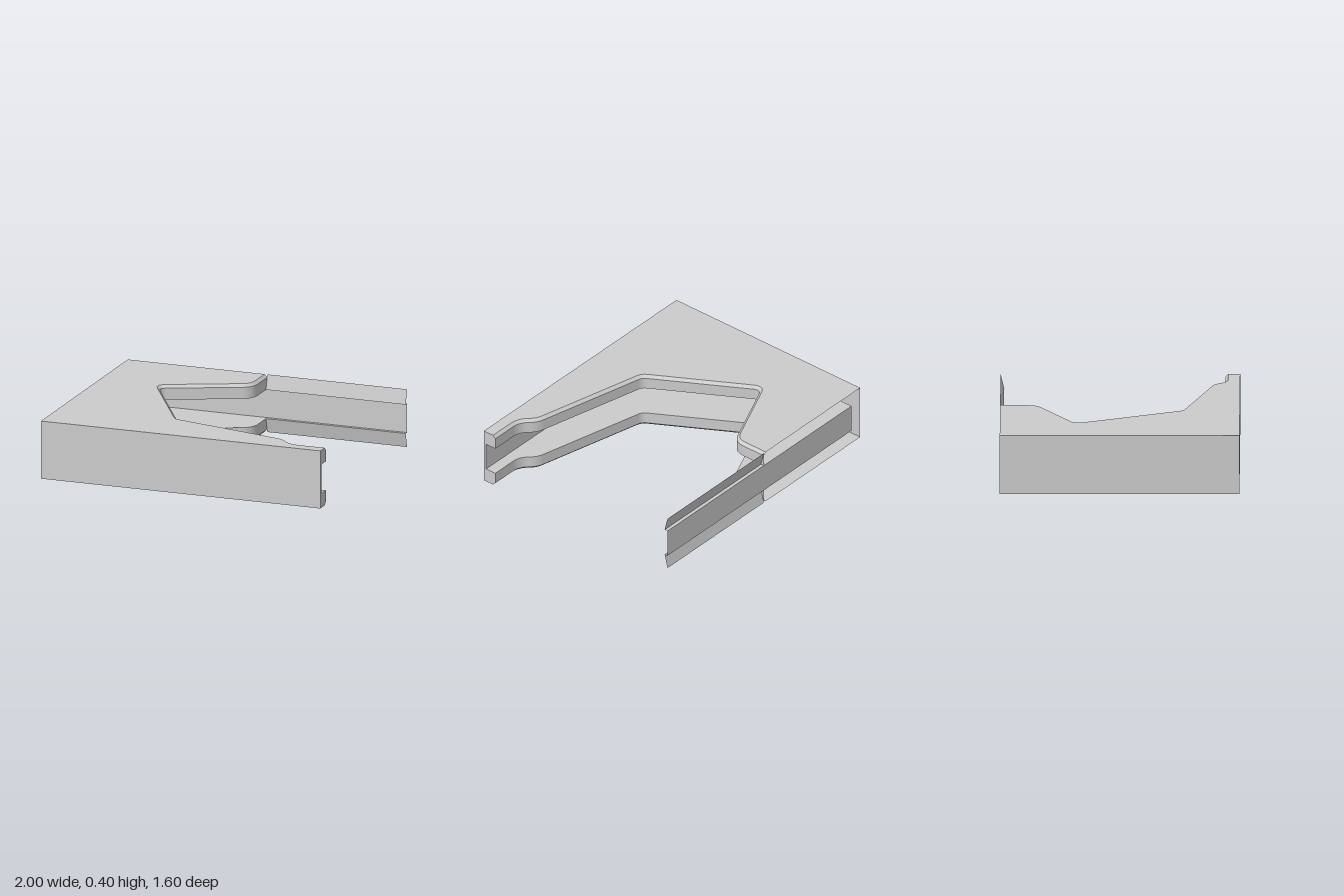
import * as THREE from 'three';

const H = 0.4, SLOT_LOW = 0.1, SLOT_HIGH = 0.3, CHAMFER = 0.02;
const material = new THREE.MeshStandardMaterial({ color: 0xcccccc, side: THREE.DoubleSide });

// Notch corners as [x, z, rounding length], from the front arm to the back edge
const corners = [
  [1, 0.7, 0], [0.755, 0.7, 0.06], [0.67, 0.608, 0.05], [-0.175, 0.407, 0.03],
  [-0.578, -0.29, 0.05], [0, -0.543, 0.08], [0, -0.8, 0],
];

// Rounds each corner with a short quadratic curve
function roundedPath(list) {
  const out = [];
  const pts = list.map(([x, z]) => new THREE.Vector2(x, z));
  pts.forEach((p, i) => {
    const r = list[i][2];
    if (!r) { out.push(p); return; }
    const toward = q => q.clone().sub(p).setLength(r).add(p);
    const curve = new THREE.QuadraticBezierCurve(toward(pts[i - 1]), p, toward(pts[i + 1]));
    out.push(...curve.getPoints(10));
  });
  return out;
}

// Shifts the path into the block by d
function offsetPath(path, d) {
  return path.map((p, i) => {
    const a = path[Math.max(i - 1, 0)], b = path[Math.min(i + 1, path.length - 1)];
    const t = b.clone().sub(a).normalize();
    return new THREE.Vector2(p.x + t.y * d, p.y - t.x * d);
  }).map((p, i, all) => {
    if (i === 0) p.set(1, path[0].y + d);
    if (i === all.length - 1) p.set(path[i].x - d, -0.8);
    return p;
  });
}

// Ribbon joining a lower and an upper path of (x, z) points
function ribbon(low, yLow, high, yHigh) {
  const pos = [], idx = [];
  low.forEach((p, i) => {
    pos.push(p.x, yLow, p.y, high[i].x, yHigh, high[i].y);
    if (i) {
      const k = 2 * i;
      idx.push(k - 2, k - 1, k, k - 1, k + 1, k);
    }
  });
  const g = new THREE.BufferGeometry();
  g.setAttribute('position', new THREE.Float32BufferAttribute(pos, 3));
  g.setIndex(idx);
  g.computeVertexNormals();
  return g;
}

// Flat horizontal plate from (x, z) points
function plate(points, y, up) {
  const s = up ? -1 : 1;
  const shape = new THREE.Shape(points.map(p => new THREE.Vector2(p.x, s * p.y)));
  return new THREE.ShapeGeometry(shape).rotateX(s * Math.PI / 2).translate(0, y, 0);
}

const xz = list => list.map(([x, z]) => new THREE.Vector2(x, z));

export function createModel() {
  const group = new THREE.Group();
  const add = (name, geometry) => {
    const mesh = new THREE.Mesh(geometry, material);
    mesh.name = name;
    group.add(mesh);
  };
  const wall = roundedPath(corners);
  const rim = offsetPath(wall, CHAMFER);

  // Top and bottom halves mirror each other
  const block = [...rim, ...xz([[-1, -0.8], [-1, 0.8], [1, 0.8]])];
  const slot = [...wall.slice(0, -1),
    ...xz([[0, -0.775], [1, -0.775], [1, -0.8], [-0.91, -0.8], [-0.91, 0.78], [1, 0.78]])];
  const backInner = xz([[0, -0.775], [1, -0.775]]);
  const backOuter = xz([[0, -0.8], [1, -0.8]]);
  add('topFace', plate(block, H, true));
  add('bottomFace', plate(block, 0, false));
  add('slotCeiling', plate(slot, SLOT_HIGH, false));
  add('slotFloor', plate(slot, SLOT_LOW, true));
  add('upperNotchWall', ribbon(wall, SLOT_HIGH, wall, H - CHAMFER));
  add('lowerNotchWall', ribbon(wall, CHAMFER, wall, SLOT_LOW));
  add('upperChamfer', ribbon(wall, H - CHAMFER, rim, H));
  add('lowerChamfer', ribbon(rim, 0, wall, CHAMFER));
  const back = list => [...list].reverse();
  add('upperBackFlange', ribbon(back(backInner), SLOT_HIGH, back(backOuter), H));
  add('lowerBackFlange', ribbon(back(backOuter), 0, back(backInner), SLOT_LOW));

  // Outer side walls
  add('frontWall', ribbon(xz([[1, 0.8], [-1, 0.8]]), 0, xz([[1, 0.8], [-1, 0.8]]), H));
  add('sideWall', ribbon(xz([[-1, 0.8], [-1, -0.8]]), 0, xz([[-1, 0.8], [-1, -0.8]]), H));

  // Inner walls of the slot
  const inner = {
    slotFrontWall: [[-0.91, 0.78], [1, 0.78]],
    slotEndWall: [[-0.91, -0.8], [-0.91, 0.78]],
    slotBackWall: [[1, -0.8], [-0.91, -0.8]],
  };
  for (const [name, line] of Object.entries(inner)) {
    add(name, ribbon(xz(line), SLOT_LOW, xz(line), SLOT_HIGH));
  }

  // C-shaped end of the front arm
  const end = [[0.72, 0.4], [0.8, 0.4], [0.8, 0], [0.72, 0], [0.7, 0.02], [0.7, 0.1],
    [0.78, 0.1], [0.78, 0.3], [0.7, 0.3], [0.7, 0.38]];
  const endShape = new THREE.Shape(end.map(([z, y]) => new THREE.Vector2(-z, y)));
  add('armEnd', new THREE.ShapeGeometry(endShape).rotateY(Math.PI / 2).translate(1, 0, 0));

  return group;
}
